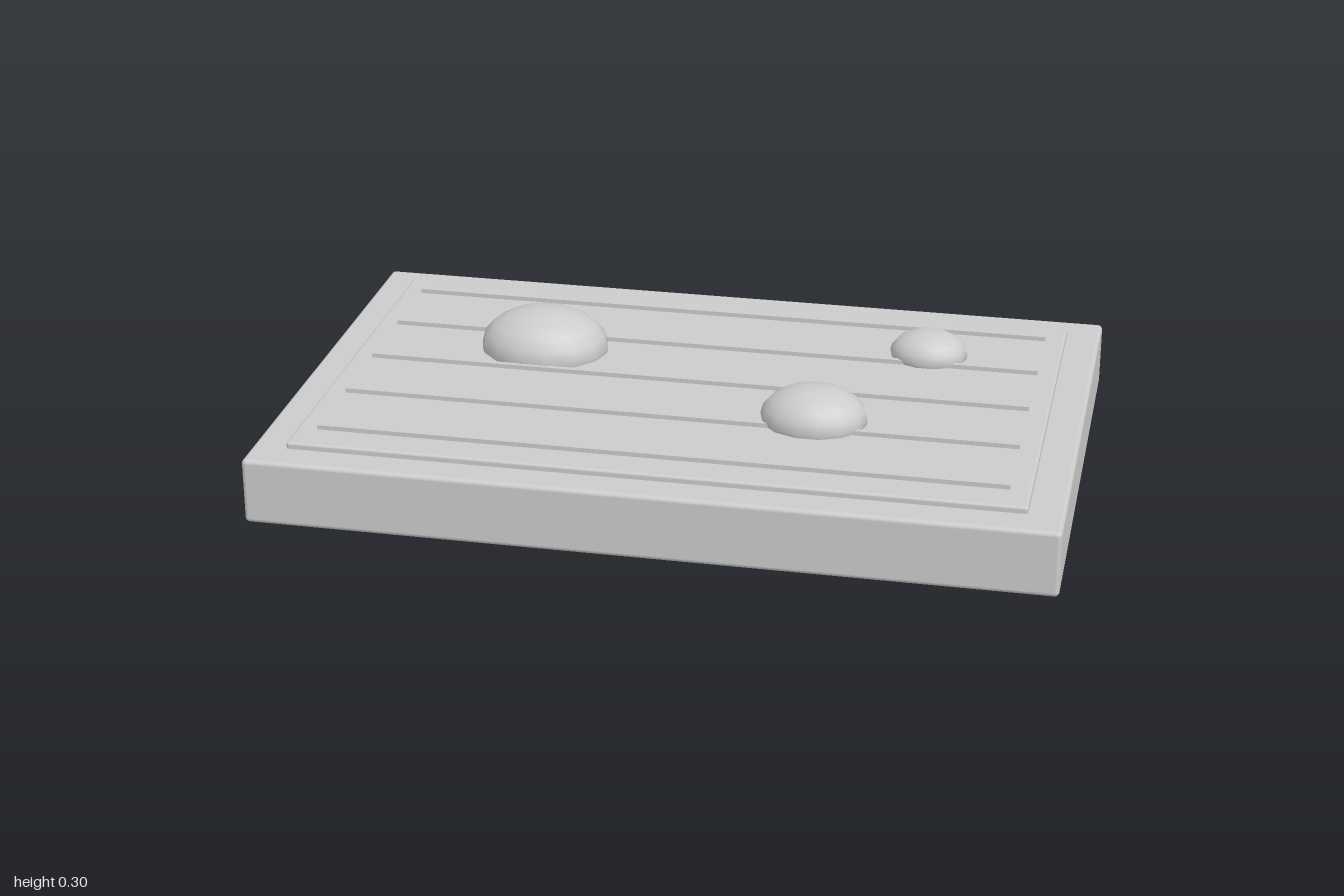
import * as THREE from 'three';
import { RoundedBoxGeometry } from 'three/addons/geometries/RoundedBoxGeometry.js';

export function createModel() {
  const group = new THREE.Group();
  const stone = new THREE.MeshStandardMaterial({ color: 0xcccccc });
  stone.name = 'light grey stone';

  const add = (name, geometry, x, y, z) => {
    const mesh = new THREE.Mesh(geometry, stone);
    mesh.name = name;
    mesh.position.set(x, y, z);
    group.add(mesh);
    return mesh;
  };

  // Slab and the slightly raised bed on top of it
  add('base', new RoundedBoxGeometry(2, 0.17, 1.28, 2, 0.012), 0, 0.085, 0);
  add('bed', new RoundedBoxGeometry(1.824, 0.035, 1.108, 2, 0.007), 0, 0.169, 0);

  // Raked ridges running along x
  for (let i = -2; i <= 2; i++) {
    add('ridge', new THREE.BoxGeometry(1.72, 0.02, 0.014), 0, 0.188, i * 0.229);
  }

  // Flattened rocks half sunk into the bed: x, z, radius
  const rocks = [[-0.43, -0.145, 0.17], [0.34, 0.17, 0.136], [0.57, -0.29, 0.102]];
  for (const [x, z, r] of rocks) {
    const rock = add('rock', new THREE.SphereGeometry(1, 14, 10), x, 0.198, z);
    rock.scale.set(r, r * 0.6, r * 0.85);
  }
  return group;
}
